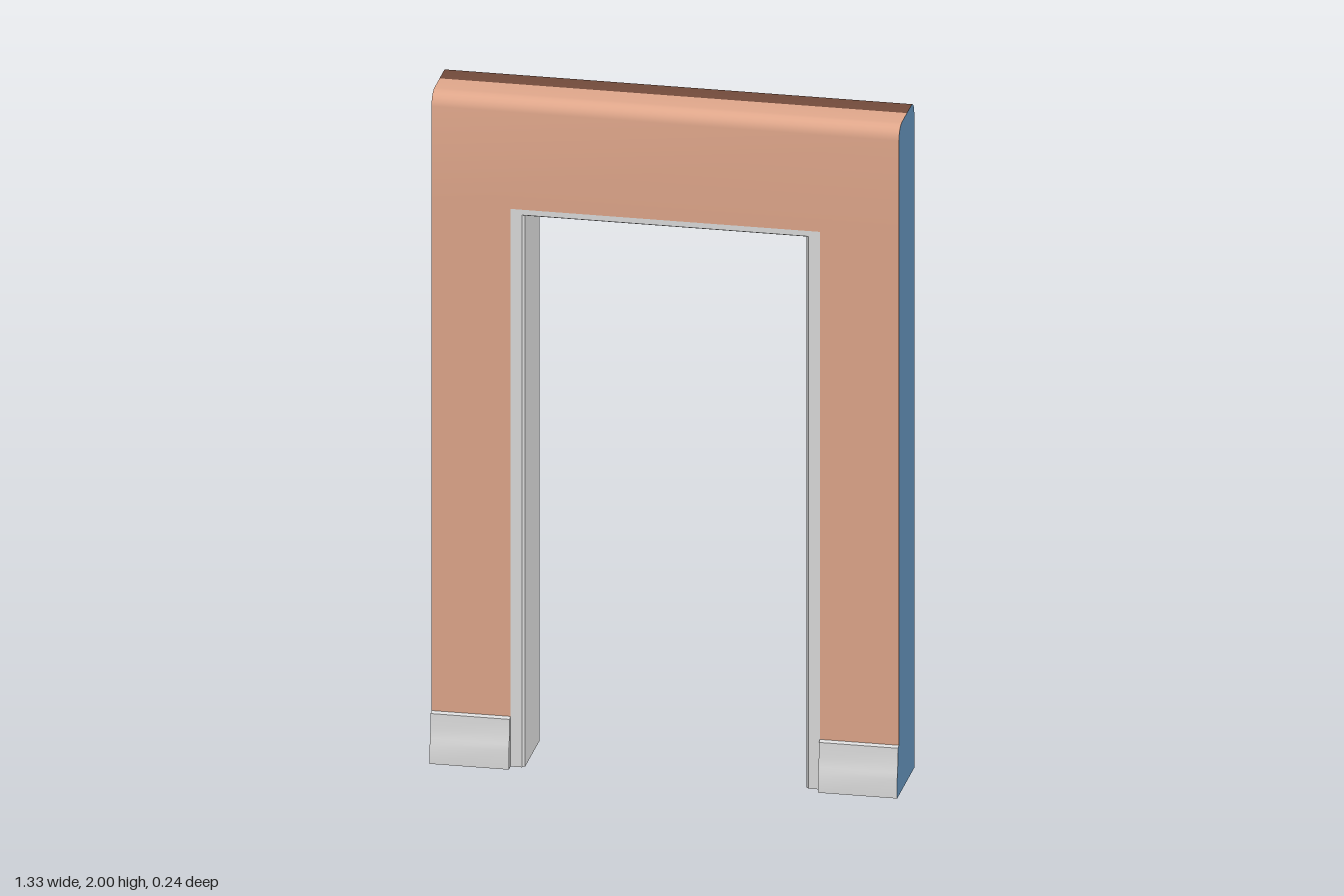
import * as THREE from 'three';
import { toCreasedNormals } from 'three/addons/utils/BufferGeometryUtils.js';

const W = 0.665, OPEN = 0.4, TRIM = 0.44, HEAD = 1.65, HEAD_TRIM = 1.67;
const FRONT = 0.095, BACK = -0.12, SEAM = -0.018, R = 0.04, BASE = 0.15;

function material(name, color) {
  const m = new THREE.MeshStandardMaterial({ color, side: THREE.DoubleSide });
  m.name = name;
  return m;
}

// Surface through rows of [x, y, z] points
function loft(rows) {
  const n = rows[0].length, index = [];
  for (let r = 0; r < rows.length - 1; r++) {
    for (let i = 0; i < n - 1; i++) {
      const a = r * n + i, b = a + 1, c = a + n, d = c + 1;
      index.push(a, b, c, b, d, c);
    }
  }
  const g = new THREE.BufferGeometry();
  g.setAttribute('position', new THREE.Float32BufferAttribute(rows.flat(2), 3));
  g.setIndex(index);
  return toCreasedNormals(g, 0.6);
}

// Sweep a [z, y] profile straight along x
const sweep = (profile, x0, x1) =>
  loft([x0, x1].map(x => profile.map(([z, y]) => [x, y, z])));

// Rounded top corner, as [z, y] points from the top down
function corner(z, dir) {
  return Array.from({ length: 6 }, (_, i) => {
    const a = (i / 5) * Math.PI / 2;
    return [z - dir * R * (1 - Math.sin(a)), 2 - R * (1 - Math.cos(a))];
  });
}

// Flat end panel in the zy plane, facing along side
function endPanel(profile, x, side) {
  const shape = new THREE.Shape(profile.map(([z, y]) => new THREE.Vector2(-side * z, y)));
  return new THREE.ShapeGeometry(shape).rotateY(side * Math.PI / 2).translate(x, 0, 0);
}

export function createModel() {
  const group = new THREE.Group();
  group.name = 'doorwayWall';
  const salmon = material('salmon paint', 0xe0a78b);
  const brown = material('brown paint', 0x744c3c);
  const blue = material('blue end', 0x6391b9);
  const white = material('pale trim', 0xdcdcdc);
  const add = (name, geometry, mat) => {
    const mesh = new THREE.Mesh(geometry, mat);
    mesh.name = name;
    group.add(mesh);
  };

  const frontTop = corner(FRONT, 1);
  const backTop = corner(BACK, -1).reverse();
  const skirting = [[FRONT, BASE], [0.108, BASE - 0.004], [0.11, 0.1], [0.115, 0.075], [0.12, 0.055], [0.12, 0]];

  // Wall above the opening, each face wrapping over the top to the seam
  add('frontHeader', sweep([[SEAM, 2], ...frontTop, [FRONT, HEAD_TRIM]], -W, W), salmon);
  add('backHeader', sweep([[BACK, HEAD_TRIM], ...backTop, [SEAM, 2]], -W, W), brown);

  // Piers, skirting boards and end panels on both sides
  const outline = [[BACK, 0], ...backTop, ...frontTop, ...skirting];
  for (const side of [-1, 1]) {
    const label = side > 0 ? 'left' : 'right';
    const x0 = side > 0 ? TRIM : -W, x1 = side > 0 ? W : -TRIM;
    add(label + 'FrontPier', sweep([[FRONT, HEAD_TRIM], [FRONT, BASE]], x0, x1), salmon);
    add(label + 'BackPier', sweep([[BACK, 0], [BACK, HEAD_TRIM]], x0, x1), brown);
    add(label + 'Skirting', sweep(skirting, x0, x1), white);
    add(label + 'SkirtingEnd', endPanel([[FRONT, 0], ...skirting], side * TRIM, -side), white);
    add(label + 'EndPanel', endPanel(outline, side * W, side), blue);
  }

  // Door lining: [offset, z] section carried up, across and down the opening
  const section = [[TRIM - OPEN, FRONT], [0.008, FRONT], [0, FRONT - 0.008],
    [0, BACK + 0.008], [0.008, BACK], [TRIM - OPEN, BACK]];
  const stations = [[-1, 0], [-1, 1], [1, 1], [1, 0]];
  add('doorLining', loft(stations.map(([side, top]) =>
    section.map(([o, z]) => [side * (OPEN + o), top * (HEAD + o / 2), z]))), white);

  return group;
}
